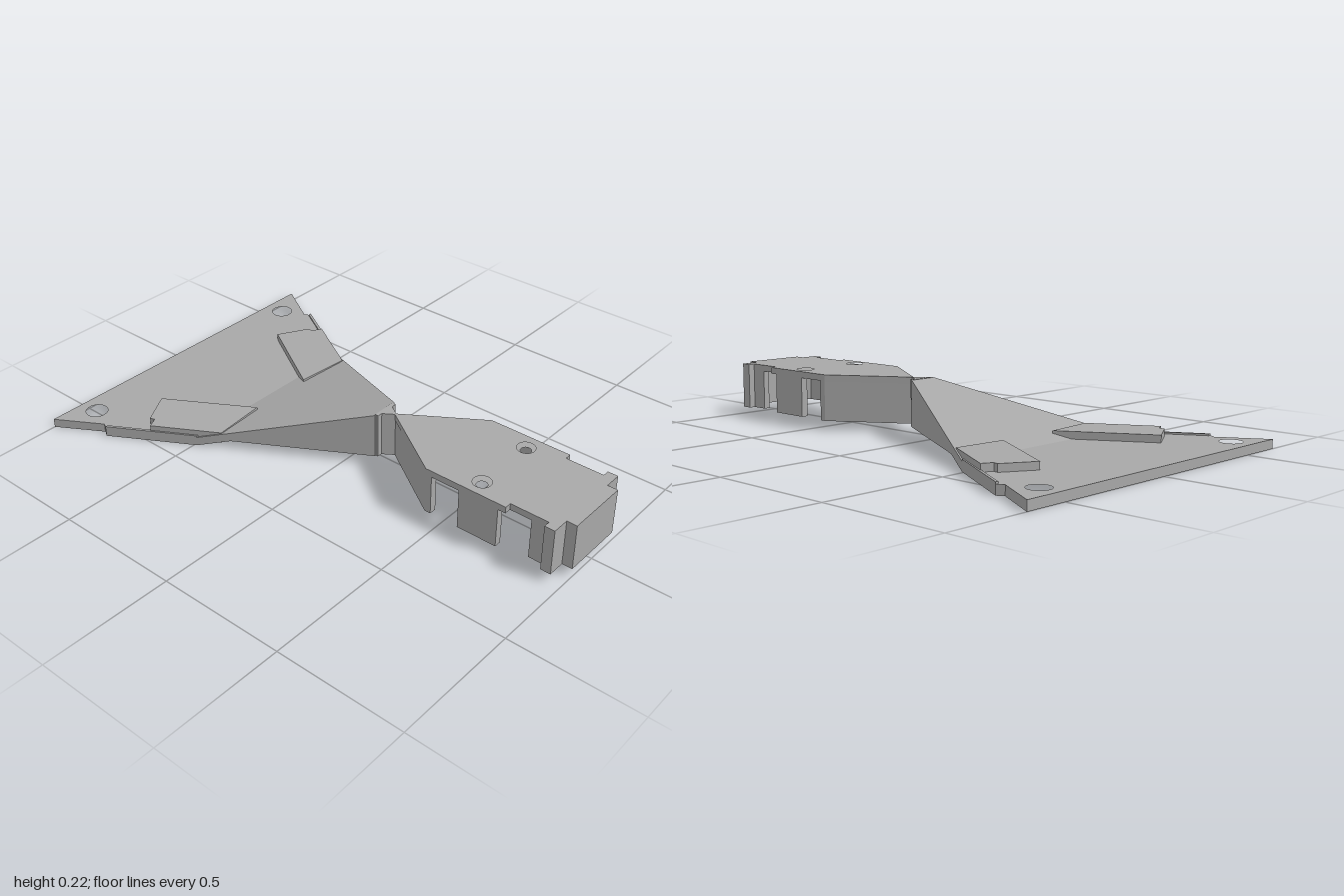
import * as THREE from 'three';
import { toCreasedNormals } from 'three/addons/utils/BufferGeometryUtils.js';

const grey = new THREE.MeshStandardMaterial({ color: 0xa8a8a8 });
grey.name = 'plain grey';

// Slab from a plan outline of [x, z] points; top and bottom are heights or functions of z
function slab(name, points, bottom, top, holes = []) {
  const shape = new THREE.Shape(points.map(([x, z]) => new THREE.Vector2(x, -z)));
  for (const [x, z, r] of holes) {
    shape.holes.push(new THREE.Path().absarc(x, -z, r, 0, Math.PI * 2, true));
  }
  const geo = new THREE.ExtrudeGeometry(shape, { depth: 1, bevelEnabled: false, curveSegments: 32 });
  geo.rotateX(-Math.PI / 2);
  const p = geo.attributes.position;
  const height = (h, z) => (typeof h === 'function' ? h(z) : h);
  for (let i = 0; i < p.count; i++) {
    p.setY(i, height(p.getY(i) > 0.5 ? top : bottom, p.getZ(i)));
  }
  const mesh = new THREE.Mesh(toCreasedNormals(geo, 0.5), grey);
  mesh.name = name;
  return mesh;
}

const flip = (points) => points.map(([x, z]) => [-x, z]);
const mirrored = (points) => [...points, ...flip(points).reverse()];

export function createModel() {
  const model = new THREE.Group();
  model.name = 'bracket';
  const add = (...args) => model.add(slab(...args));
  const addPair = (name, points, bottom, top) => {
    add(name + 'Left', points, bottom, top);
    add(name + 'Right', flip(points), bottom, top);
  };

  const DECK = 0.215, UNDER = 0.19, BASE = 0.035;
  const W = 0.193, T = 0.028;
  const edge = (z) => 0.05 + 0.582 * (0.11 - z);
  const slope = (z) => Math.min(DECK, BASE + (z + 0.49) * 0.18 / 0.59);

  // Front deck with two countersunk screw holes
  const deck = mirrored([
    [0.002, 0.148], [W, 0.44], [W, 0.77], [0.167, 0.77], [0.167, 0.92],
    [W, 0.92], [W, 0.96], [0.125, 0.96], [0.125, 1],
  ]);
  const screws = (r) => [[-0.13, 0.63, r], [0.13, 0.63, r]];
  add('deckLower', deck, UNDER, 0.203, screws(0.02));
  add('deckUpper', deck, 0.203, DECK, screws(0.034));

  // Walls hanging below the deck, with openings between them
  addPair('diagonalWall', [
    [0, 0.148], [W, 0.44], [W, 0.465], [W - T, 0.465], [W - T, 0.45], [0, 0.2],
  ], BASE, UNDER);
  addPair('middleWall', [[W, 0.58], [W, 0.74], [W - T, 0.74], [W - T, 0.58]], BASE, UNDER);
  addPair('cornerWall', [
    [0.167, 0.855], [0.167, 0.92], [W, 0.92], [W, 0.96], [0.125, 0.96],
    [0.125, 0.94], [0.142, 0.93], [0.142, 0.855],
  ], BASE, UNDER);
  add('frontWall', mirrored([[0.1, 0.935], [0.125, 0.935], [0.125, 1], [0.1, 1]].slice(1, 3)
    .concat([[0.1, 1], [0.1, 0.975]]).slice(0, 2)).map(([x, z]) => [x, z < 0.95 ? 0.972 : z]), BASE, UNDER);
  addPair('frontReturn', [[0.125, 0.935], [0.125, 0.98], [0.1, 0.98], [0.1, 0.935]], BASE, UNDER);

  // Narrow neck joining the two halves
  add('neck', mirrored([[0.05, 0.095], [0.05, 0.11], [0.03, 0.11], [0.002, 0.152]]), BASE, DECK);

  // Sloping roof and its side walls
  add('slopingRoof', mirrored([[edge(-0.49), -0.49], [edge(0.1), 0.1]]),
    (z) => Math.max(0, slope(z) - BASE), slope);
  addPair('slopeWall', [
    [edge(-0.38), -0.38], [edge(0.1), 0.1], [edge(0.1) - T, 0.1], [edge(-0.38) - T, -0.38],
  ], BASE, (z) => slope(z) - 0.01);

  // Flat rear plate with corner holes
  add('rearPlate', mirrored([
    [0.67, -1], [0.565, -0.825], [0.58, -0.8], [edge(-0.49), -0.49],
  ]), 0, BASE, [[-0.523, -0.92, 0.042], [0.523, -0.92, 0.042]]);

  // Thin lip along each slanted edge
  addPair('edgeLip', [
    [0.58, -0.8], [edge(-0.49), -0.49], [edge(-0.49) - 0.012, -0.49], [0.568, -0.8],
  ], 0.02, 0.042);

  // Raised diagonal ribs
  addPair('raisedRib', [
    [0.132, -0.43], [0.328, -0.76], [0.45, -0.69], [0.445, -0.67],
    [0.485, -0.65], [0.345, -0.41],
  ], 0.02, 0.063);

  return model;
}
